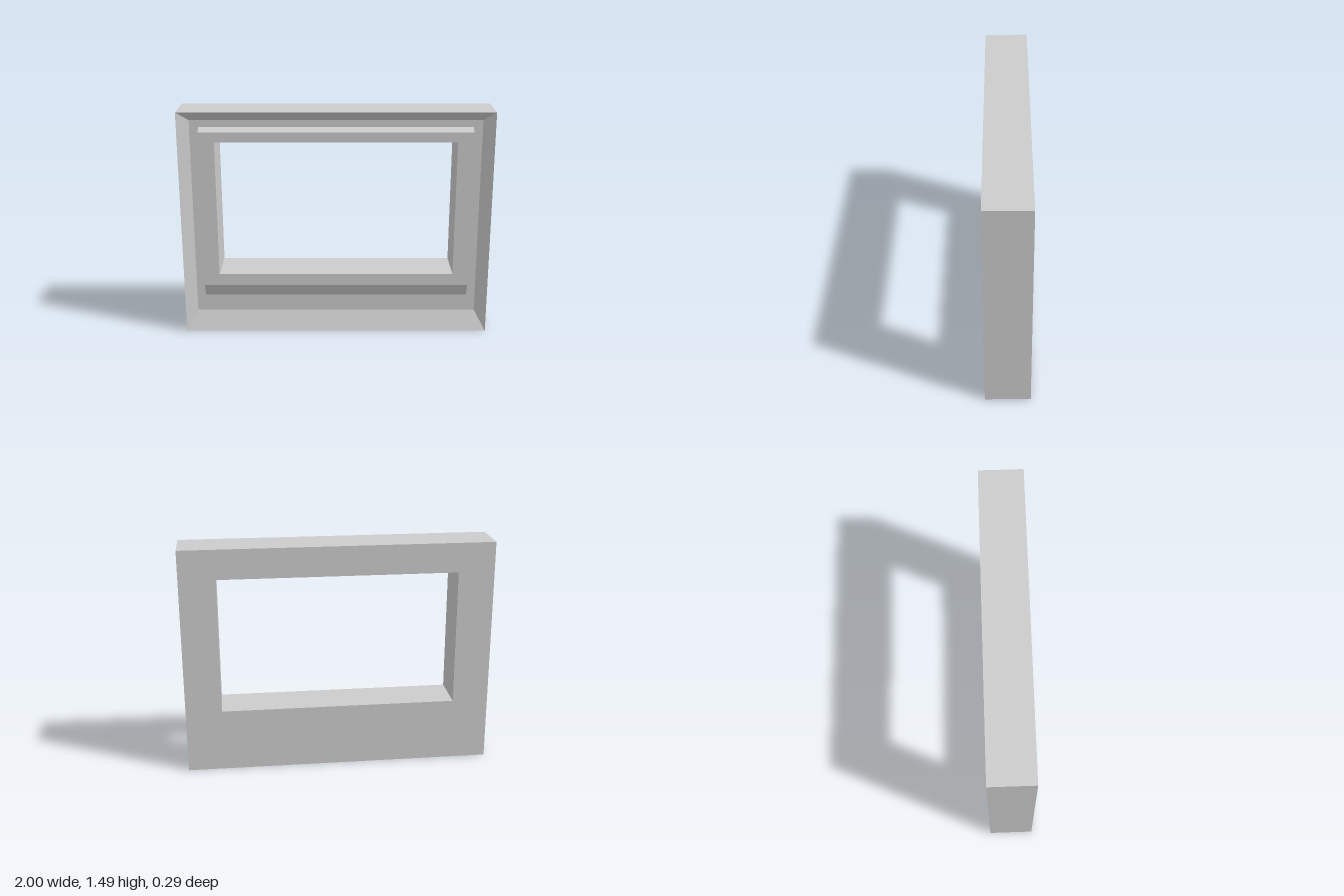
import * as THREE from 'three';

const DEPTH = 0.143;        // half thickness of the frame
const RECESS = 0.086;       // z of the sunken channel floor

// Rectangular cross-section, counter-clockwise seen from the front
const rect = (halfWidth, bottom, top, z) => [
  [-halfWidth, bottom, z], [halfWidth, bottom, z],
  [halfWidth, top, z], [-halfWidth, top, z],
];

// Skin consecutive rectangles with flat, sharp-edged quads
function loft(name, loops, material) {
  const pos = [];
  for (let k = 0; k < loops.length - 1; k++) {
    const a = loops[k], b = loops[k + 1];
    for (let i = 0; i < 4; i++) {
      const j = (i + 1) % 4;
      pos.push(...a[i], ...a[j], ...b[j], ...a[i], ...b[j], ...b[i]);
    }
  }
  const geometry = new THREE.BufferGeometry();
  geometry.setAttribute('position', new THREE.Float32BufferAttribute(pos, 3));
  geometry.computeVertexNormals();
  const mesh = new THREE.Mesh(geometry, material);
  mesh.name = name;
  return mesh;
}

export function createModel() {
  const group = new THREE.Group();
  group.name = 'windowFrame';
  const material = new THREE.MeshStandardMaterial({ color: 0xcccccc, flatShading: true });

  const outerBack = rect(1, 0, 1.49, -DEPTH);
  const outerFront = rect(1, 0, 1.49, DEPTH);
  const channelOuter = rect(0.927, 0.13, 1.43, RECESS);
  const channelInner = rect(0.87, 0.238, 1.384, RECESS);
  const raisedFront = rect(0.865, 0.334, 1.362, DEPTH);
  const openingFront = rect(0.766, 0.412, 1.298, DEPTH);
  const openingBack = rect(0.766, 0.412, 1.298, -DEPTH);

  group.add(
    // back face and outer sides
    loft('outerCasing', [openingBack, outerBack, outerFront], material),
    // sloped border running down to the sunken channel
    loft('bevelledBorder', [outerFront, channelOuter, channelInner], material),
    // raised moulding around the opening, with its sloped sill
    loft('innerMoulding', [channelInner, raisedFront, openingFront], material),
    // walls of the opening through the frame
    loft('openingWalls', [openingFront, openingBack], material),
  );
  return group;
}
